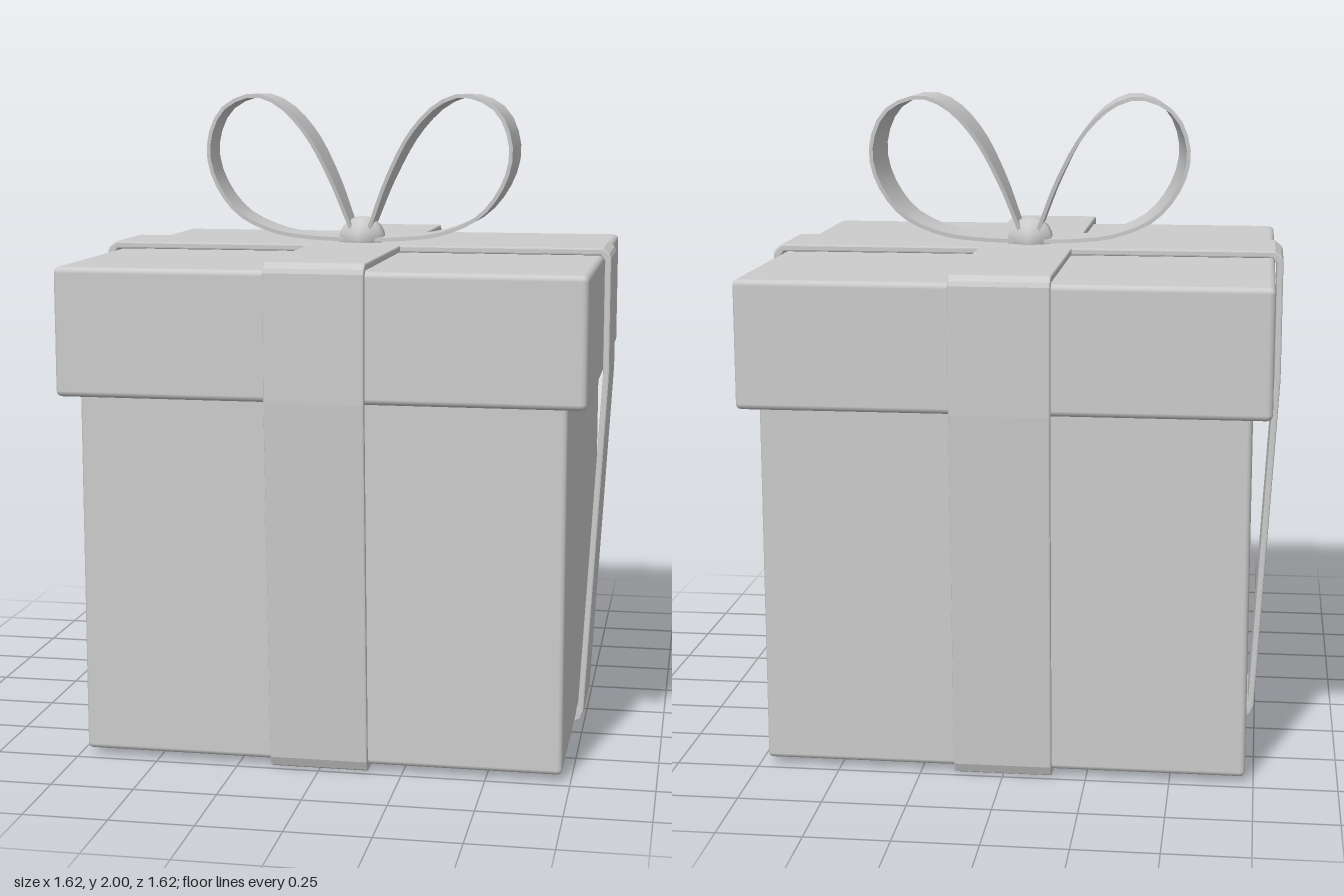
import * as THREE from 'three';
import { RoundedBoxGeometry } from 'three/addons/geometries/RoundedBoxGeometry.js';

const material = new THREE.MeshStandardMaterial({ color: 0xcccccc });

function addPart(parent, name, geometry) {
  const mesh = new THREE.Mesh(geometry, material);
  mesh.name = name;
  parent.add(mesh);
  return mesh;
}

// Closed outline mirrored about x = 0 from its right half (bottom to top)
function mirrored(half) {
  const left = half.map(([x, y]) => [-x, y]).reverse();
  return [...half, ...left].map(([x, y]) => new THREE.Vector2(x, y));
}

// Ribbon band that wraps the whole box, leaning in below the lid
function bandGeometry(width) {
  const shape = new THREE.Shape(mirrored([
    [0.72, 0], [0.737, 0.008], [0.748, 0.035], [0.809, 1.12], [0.809, 1.495], [0.803, 1.509], [0.783, 1.525],
  ]));
  shape.holes.push(new THREE.Path(mirrored([
    [0.715, 0.025], [0.729, 0.05], [0.789, 1.12], [0.789, 1.485], [0.775, 1.503],
  ])));
  const bevel = 0.005;
  const geometry = new THREE.ExtrudeGeometry(shape, {
    depth: width - 2 * bevel, bevelThickness: bevel, bevelSize: bevel, bevelOffset: -bevel, bevelSegments: 2,
  });
  return geometry.translate(0, 0, bevel - width / 2);
}

// Bow loop: a thin slab bent along a curve, widest in the middle
function loopGeometry() {
  const path = new THREE.CatmullRomCurve3([
    [0.03, 1.57], [0.095, 1.735], [0.175, 1.88], [0.265, 1.968], [0.345, 1.992], [0.445, 1.947],
    [0.491, 1.84], [0.476, 1.735], [0.397, 1.62], [0.275, 1.56], [0.15, 1.54], [0.04, 1.534],
  ].map(([x, y]) => new THREE.Vector3(x, y, 0)));
  const geometry = new THREE.BoxGeometry(1, 0.012, 2, 32, 1, 1);
  const pos = geometry.attributes.position;
  for (let i = 0; i < pos.count; i++) {
    const t = THREE.MathUtils.clamp(pos.getX(i) + 0.5, 0, 1);
    const p = path.getPointAt(t);
    const dir = path.getTangentAt(t);
    const offset = pos.getY(i);
    const halfWidth = 0.05 + 0.083 * Math.sin(Math.PI * t);
    pos.setXYZ(i, p.x - dir.y * offset, p.y + dir.x * offset, pos.getZ(i) * halfWidth);
  }
  geometry.computeVertexNormals();
  return geometry;
}

export function createModel() {
  const model = new THREE.Group();
  model.name = 'giftBox';

  // Box and overhanging lid
  addPart(model, 'boxBody', new RoundedBoxGeometry(1.45, 1.28, 1.45, 2, 0.015)).position.y = 0.66;
  addPart(model, 'lid', new RoundedBoxGeometry(1.565, 0.385, 1.565, 2, 0.018)).position.y = 1.308;

  // Two crossing ribbon bands
  const band = bandGeometry(0.295);
  addPart(model, 'ribbonAcross', band);
  addPart(model, 'ribbonFrontToBack', band).rotation.y = Math.PI / 2;

  // Bow with a slightly skewed right loop
  const bow = new THREE.Group();
  bow.name = 'bow';
  model.add(bow);
  addPart(bow, 'leftLoop', loopGeometry());
  const skewed = loopGeometry().rotateY(Math.PI);
  const pos = skewed.attributes.position;
  for (let i = 0; i < pos.count; i++) pos.setX(i, pos.getX(i) * (1 - 0.27 * pos.getZ(i)));
  skewed.computeVertexNormals();
  addPart(bow, 'rightLoop', skewed);

  // Six-sided rounded knot
  const knot = addPart(bow, 'knot', new THREE.SphereGeometry(0.08, 6, 10));
  knot.rotation.y = Math.PI / 2;
  knot.scale.y = 0.9;
  knot.position.y = 1.535;

  return model;
}
